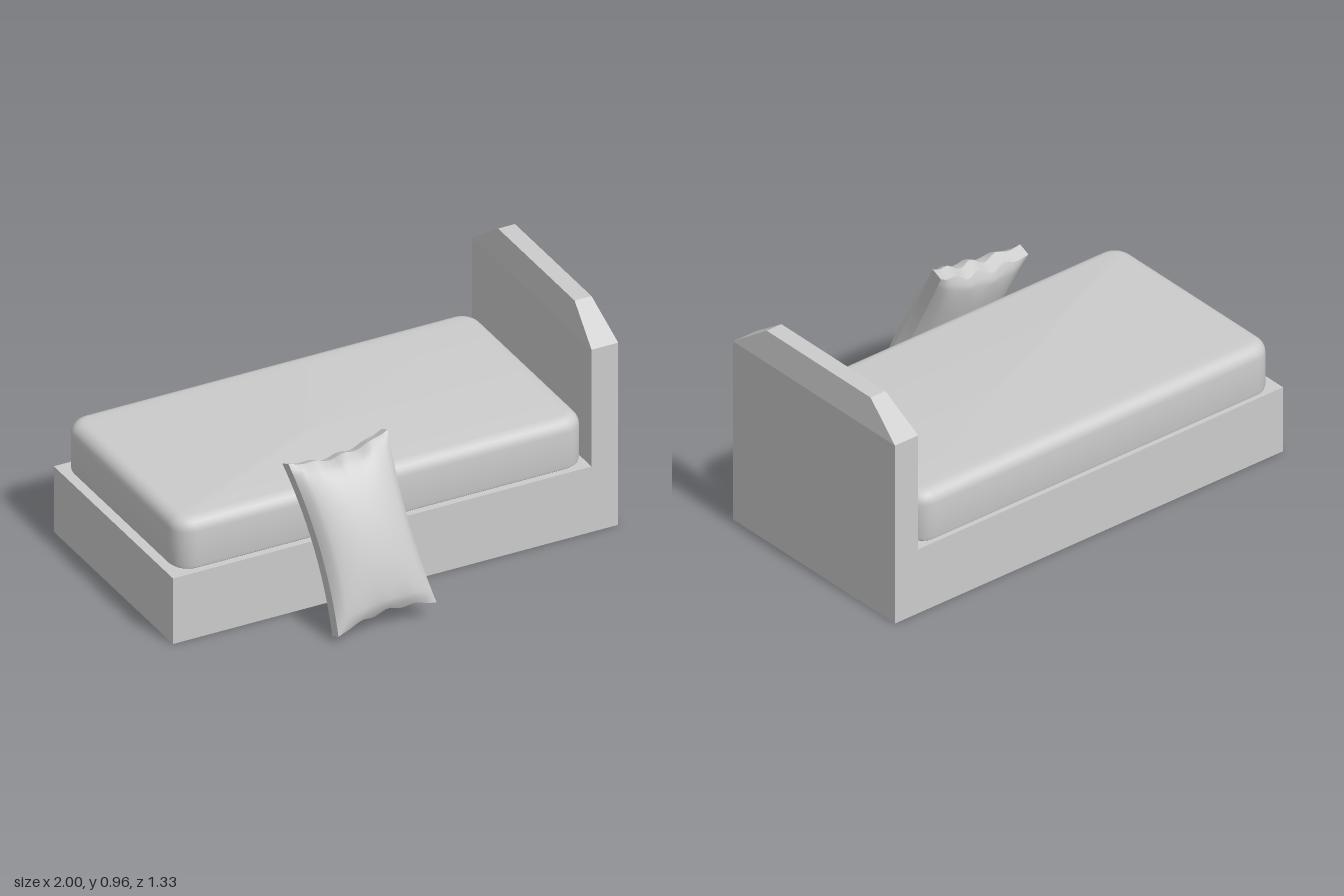
import * as THREE from 'three';
import { toCreasedNormals } from 'three/addons/utils/BufferGeometryUtils.js';

const material = new THREE.MeshStandardMaterial({ color: 0xcccccc });

function addMesh(parent, geometry, name) {
  const mesh = new THREE.Mesh(geometry, material);
  mesh.name = name;
  parent.add(mesh);
  return mesh;
}

// Horizontal rectangle at height y, with corners of radius r in n steps
function ring(x0, x1, z0, z1, y, r = 0, n = 0) {
  const centres = [[x1 - r, z0 + r], [x0 + r, z0 + r], [x0 + r, z1 - r], [x1 - r, z1 - r]];
  const points = [];
  centres.forEach(([cx, cz], q) => {
    for (let i = 0; i <= n; i++) {
      const a = (q + (n ? i / n : 0)) * Math.PI / 2;
      points.push([cx + r * Math.cos(a), y, cz - r * Math.sin(a)]);
    }
  });
  return points;
}

// Closed solid through stacked rings, bottom to top
function loft(rings, crease) {
  const n = rings[0].length, last = (rings.length - 1) * n, index = [];
  for (let k = 0; k < last; k += n) {
    for (let i = 0; i < n; i++) {
      const a = k + i, b = k + (i + 1) % n;
      index.push(a, b, b + n, a, b + n, a + n);
    }
  }
  for (let i = 1; i < n - 1; i++) {
    index.push(0, i + 1, i, last, last + i, last + i + 1);
  }
  const geometry = new THREE.BufferGeometry();
  geometry.setAttribute('position', new THREE.Float32BufferAttribute(rings.flat(2), 3));
  geometry.setIndex(index);
  return toCreasedNormals(geometry, crease);
}

// Cushion: a subdivided box bent between four corners, plump in the middle
function pillowGeometry() {
  const geometry = new THREE.BoxGeometry(2, 2, 2, 20, 28, 2);
  const topLeft = new THREE.Vector3(-0.485, 0.68, 0.315);
  const topRight = new THREE.Vector3(-0.05, 0.73, 0.335);
  const bottomLeft = new THREE.Vector3(-0.425, 0.03, 0.625);
  const bottomRight = new THREE.Vector3(0.01, 0.075, 0.635);
  const normal = new THREE.Vector3(0, 0.41, 0.91);
  const pos = geometry.attributes.position;
  const p = new THREE.Vector3(), top = new THREE.Vector3();
  for (let i = 0; i < pos.count; i++) {
    const s = pos.getX(i), t = pos.getY(i), w = pos.getZ(i);
    const ripple = 0.012 * Math.sin(s * 11 + 1) * t ** 8 * (1 - s * s);
    const u = (s * (1 - 0.11 * (1 - t * t)) + 1) / 2;
    const v = (t * (1 - 0.1 * (1 - s * s)) + 1) / 2 + ripple;
    const half = 0.028 + 0.075 * Math.pow((1 - s * s) * (1 - t * t), 0.5);
    p.copy(bottomLeft).lerp(bottomRight, u);
    top.copy(topLeft).lerp(topRight, u);
    p.lerp(top, v).addScaledVector(normal, w * half + ripple + 0.01 * (1 - t * t));
    pos.setXYZ(i, p.x, p.y, p.z);
  }
  geometry.computeVertexNormals();
  return geometry;
}

export function createModel() {
  const bed = new THREE.Group();
  bed.name = 'bed';
  const back = -0.67, front = 0.335, floor = 0.005, deck = 0.175, baseTop = 0.305, wall = 0.125;

  // Base: hollow plinth below a solid deck
  const base = new THREE.Group();
  base.name = 'base';
  bed.add(base);
  const outline = new THREE.Shape(ring(-1, 1, back, front, 0).map(([x, , z]) => new THREE.Vector2(x, -z)));
  outline.holes.push(new THREE.Path(
    ring(-1 + wall, 1 - wall, back + wall, front - wall, 0).map(([x, , z]) => new THREE.Vector2(x, -z)).reverse()));
  const plinth = new THREE.ExtrudeGeometry(outline, { depth: deck - floor, bevelEnabled: false });
  plinth.rotateX(-Math.PI / 2).translate(0, floor, 0);
  addMesh(base, plinth, 'plinth');
  addMesh(base, loft([ring(-1, 1, back, front, deck), ring(-1, 1, back, front, baseTop)], 0.3), 'deck');

  // Headboard: upright slab with a tapered top
  addMesh(bed, loft([
    ring(0.88, 1, back, front, baseTop),
    ring(0.88, 1, back, front, 0.84),
    ring(0.9, 0.976, -0.49, 0.155, 0.968),
  ], 0.1), 'headboard');

  // Mattress: rounded corners, softer upper edge
  const layers = [[0.012, baseTop], [0.003, 0.312], [0, 0.325], [0, 0.475]];
  for (let i = 1; i <= 6; i++) {
    const a = i / 6 * Math.PI / 2;
    layers.push([0.055 * (1 - Math.cos(a)), 0.475 + 0.055 * Math.sin(a)]);
  }
  addMesh(bed, loft(layers.map(([d, y]) =>
    ring(-0.965 + d, 0.87 - d, -0.66 + d, 0.315 - d, y, 0.09 - d, 8)), 0.5), 'mattress');

  // Pillow leaning against the front side
  addMesh(bed, pillowGeometry(), 'pillow');
  return bed;
}
